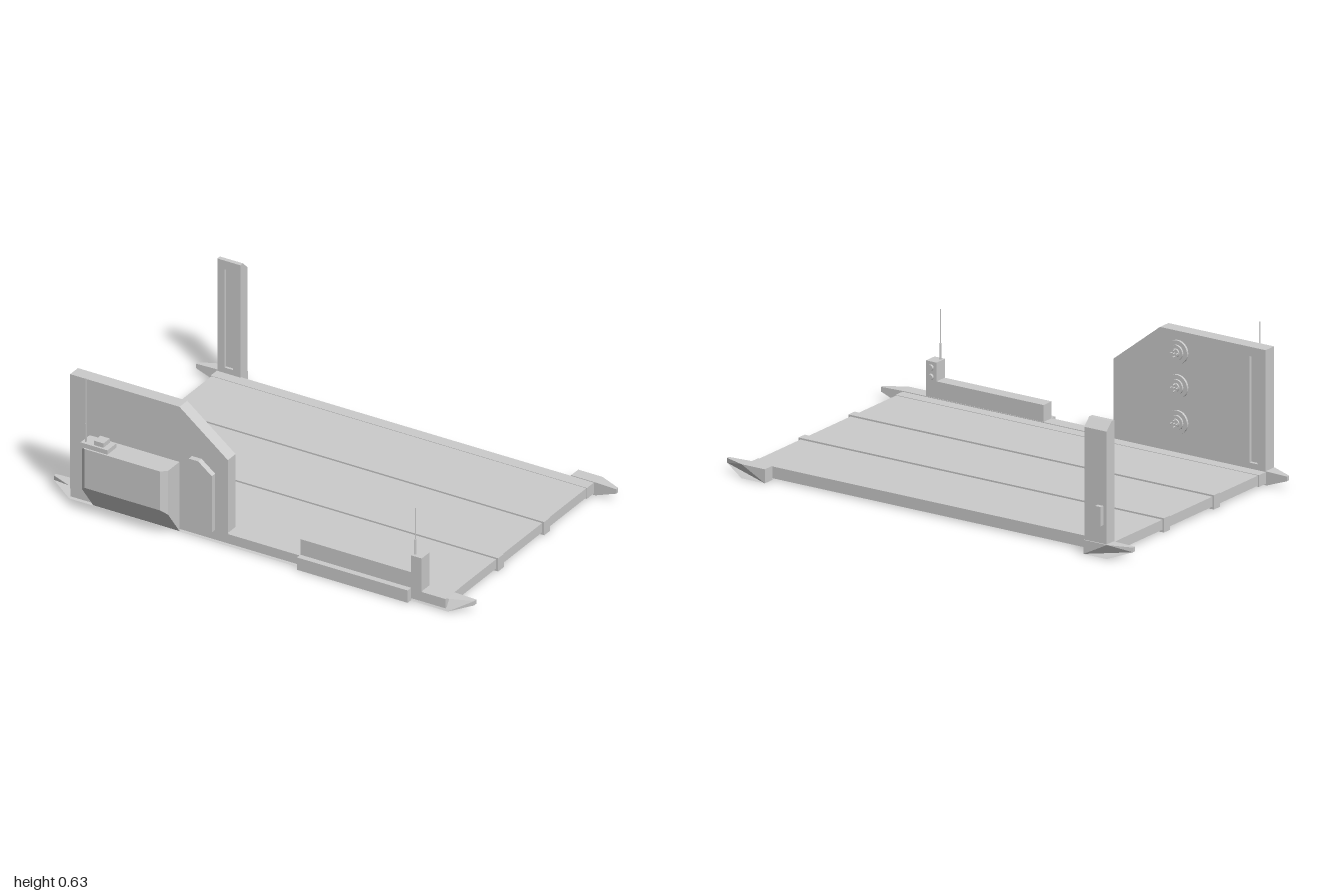
import * as THREE from 'three';
import { ConvexGeometry } from 'three/addons/geometries/ConvexGeometry.js';

const material = new THREE.MeshStandardMaterial({ color: 0xcccccc, flatShading: true });
const smooth = new THREE.MeshStandardMaterial({ color: 0xcccccc });

export function createModel() {
  const model = new THREE.Group();
  model.name = 'loadingPlatform';

  const add = (name, geometry, mat = material) => {
    const mesh = new THREE.Mesh(geometry, mat);
    mesh.name = name;
    model.add(mesh);
    return mesh;
  };
  // box given by its limits on each axis
  const box = (name, x0, x1, y0, y1, z0, z1) =>
    add(name, new THREE.BoxGeometry(x1 - x0, y1 - y0, z1 - z0)
      .translate((x0 + x1) / 2, (y0 + y1) / 2, (z0 + z1) / 2));
  const outline = (points) => new THREE.Shape(points.map(([x, y]) => new THREE.Vector2(x, y)));
  const extrude = (shape, depth) =>
    new THREE.ExtrudeGeometry(shape, { depth, bevelEnabled: false });
  const rectHole = (x0, x1, y0, y1) =>
    new THREE.Path([[x0, y0], [x0, y1], [x1, y1], [x1, y0]].map(([x, y]) => new THREE.Vector2(x, y)));
  const rod = (name, x, z, y0, y1, r) =>
    add(name, new THREE.CylinderGeometry(r, r, y1 - y0, 8).translate(x, (y0 + y1) / 2, z), smooth);

  // deck with cross ribs and edge strips
  box('deck', -0.893, 0.89, 0.015, 0.058, -0.59, 0.55);
  for (const z of [-0.218, 0.137]) box('deckRib', -0.9, 0.9, 0.004, 0.065, z - 0.022, z + 0.022);
  box('backEdgeStrip', -0.897, 0.893, 0.01, 0.06, -0.59, -0.537);
  box('frontEdgeStrip', -0.897, 0.893, 0.01, 0.06, 0.44, 0.49);

  // rails: outer side narrows to a small tip where |x| goes from 0.9 to 1
  const taper = (geometry, inner, outer) => {
    const p = geometry.attributes.position;
    for (let i = 0; i < p.count; i++) {
      const far = p.getZ(i) > 0.5;
      const tip = Math.abs(p.getX(i)) > 0.95;
      p.setZ(i, far ? (tip ? inner + (outer - inner) * 0.27 : outer) : inner);
    }
    geometry.computeVertexNormals();
    return geometry;
  };
  const frontRail = outline([[-1, 0.04], [-0.9, 0.003], [0.9, 0.003], [1, 0.04],
    [1, 0.06], [0.9, 0.063], [-0.9, 0.063], [-1, 0.06]]);
  add('frontRail', taper(extrude(frontRail, 1), 0.49, 0.55));
  const horn = outline([[0.785, 0.003], [0.9, 0.003], [1, 0.04], [1, 0.06], [0.9, 0.063], [0.785, 0.063]]);
  for (const side of [-1, 1]) {
    // turned about y for the -x horn, mirrored through z for the +x horn
    const g = taper(extrude(horn, 1), 0.59, 0.645);
    if (side < 0) g.rotateY(Math.PI);
    else {
      const p = g.attributes.position;
      for (let i = 0; i < p.count; i++) p.setZ(i, -p.getZ(i));
      for (let i = 0; i < p.count; i += 3) {
        const a = [p.getX(i), p.getY(i), p.getZ(i)];
        p.setXYZ(i, p.getX(i + 1), p.getY(i + 1), p.getZ(i + 1));
        p.setXYZ(i + 1, ...a);
      }
      g.computeVertexNormals();
    }
    add('backHorn', g);
  }

  // tall front panel with a slotted inner skin
  const panelPoints = [[-0.895, 0.05], [-0.145, 0.05], [-0.145, 0.4], [-0.375, 0.58], [-0.895, 0.58]];
  add('panel', extrude(outline(panelPoints), 0.045).translate(0, 0, 0.505));
  const skin = outline(panelPoints);
  skin.holes.push(rectHole(-0.855, -0.815, 0.085, 0.54));
  add('panelInnerSkin', extrude(skin, 0.015).translate(0, 0, 0.49));

  // three stepped round sockets with pins on the panel's inner side
  const socketProfile = [[0, 0.025], [0.018, 0.025], [0.018, 0.018], [0.032, 0.018], [0.032, 0.01], [0.05, 0.01], [0.05, 0]];
  for (const y of [0.192, 0.345, 0.492]) {
    add('socket', new THREE.LatheGeometry(
      socketProfile.map(([r, h]) => new THREE.Vector2(r, h)).reverse(), 24)
      .rotateX(-Math.PI / 2).translate(-0.465, y, 0.49));
    for (const [dx, dy] of [[0, 0.014], [0, 0], [0, -0.014], [0.014, 0], [-0.014, 0]])
      add('socketPin', new THREE.CylinderGeometry(0.003, 0.003, 0.04, 8)
        .rotateX(Math.PI / 2).translate(-0.465 + dx, y + dy, 0.47), smooth);
  }

  // cabinet with chamfered front corners and a sloping underside
  const corners = [];
  for (const s of [-1, 1]) {
    const put = (half, y, z) => corners.push(new THREE.Vector3(-0.58 + s * half, y, z));
    put(0.205, 0.005, 0.55);
    put(0.205, 0.325, 0.55);
    put(0.205, 0.325, 0.638);
    put(0.18, 0.325, 0.66);
    put(0.205, 0.122, 0.638);
    put(0.18, 0.145, 0.66);
  }
  add('cabinet', new ConvexGeometry(corners));
  box('cabinetLid', -0.783, -0.655, 0.32, 0.345, 0.582, 0.652);
  box('cabinetVent', -0.725, -0.68, 0.34, 0.365, 0.593, 0.642);
  rod('cabinetAerialBase', -0.768, 0.635, 0.34, 0.43, 0.004);
  rod('cabinetAerial', -0.768, 0.635, 0.43, 0.638, 0.002);

  // small cut-corner plate beside the cabinet
  add('sidePlate', extrude(outline([[-0.315, 0.06], [-0.205, 0.06], [-0.205, 0.32],
    [-0.27, 0.37], [-0.315, 0.37]]), 0.027).translate(0, 0, 0.549));

  // low wall, its outer step and the lamp post
  box('lowWall', 0.2, 0.73, 0.06, 0.135, 0.492, 0.55);
  box('lowWallStep', 0.2, 0.727, 0.006, 0.063, 0.545, 0.577);
  box('lampPost', 0.727, 0.779, 0.06, 0.215, 0.492, 0.553);
  for (const y of [0.15, 0.19])
    add('lamp', new THREE.CylinderGeometry(0.013, 0.013, 0.012, 16)
      .rotateX(Math.PI / 2).translate(0.754, y, 0.488), smooth);
  rod('lampAerialBase', 0.738, 0.535, 0.21, 0.285, 0.004);
  rod('lampAerial', 0.738, 0.535, 0.285, 0.43, 0.002);

  // back post: side outline with sloping top, slotted inner skin, outer box
  const postSide = outline([[-0.64, 0.05], [-0.597, 0.05], [-0.597, 0.58], [-0.605, 0.58], [-0.64, 0.545]]);
  add('backPost', extrude(postSide, 0.11).rotateY(-Math.PI / 2).translate(-0.785, 0, 0));
  const postSkin = outline([[-0.895, 0.05], [-0.785, 0.05], [-0.785, 0.58], [-0.895, 0.58]]);
  postSkin.holes.push(rectHole(-0.86, -0.82, 0.085, 0.54));
  add('backPostInnerSkin', extrude(postSkin, 0.012).translate(0, 0, -0.597));
  box('backPostBox', -0.88, -0.852, 0.143, 0.225, -0.66, -0.635);

  return model;
}
